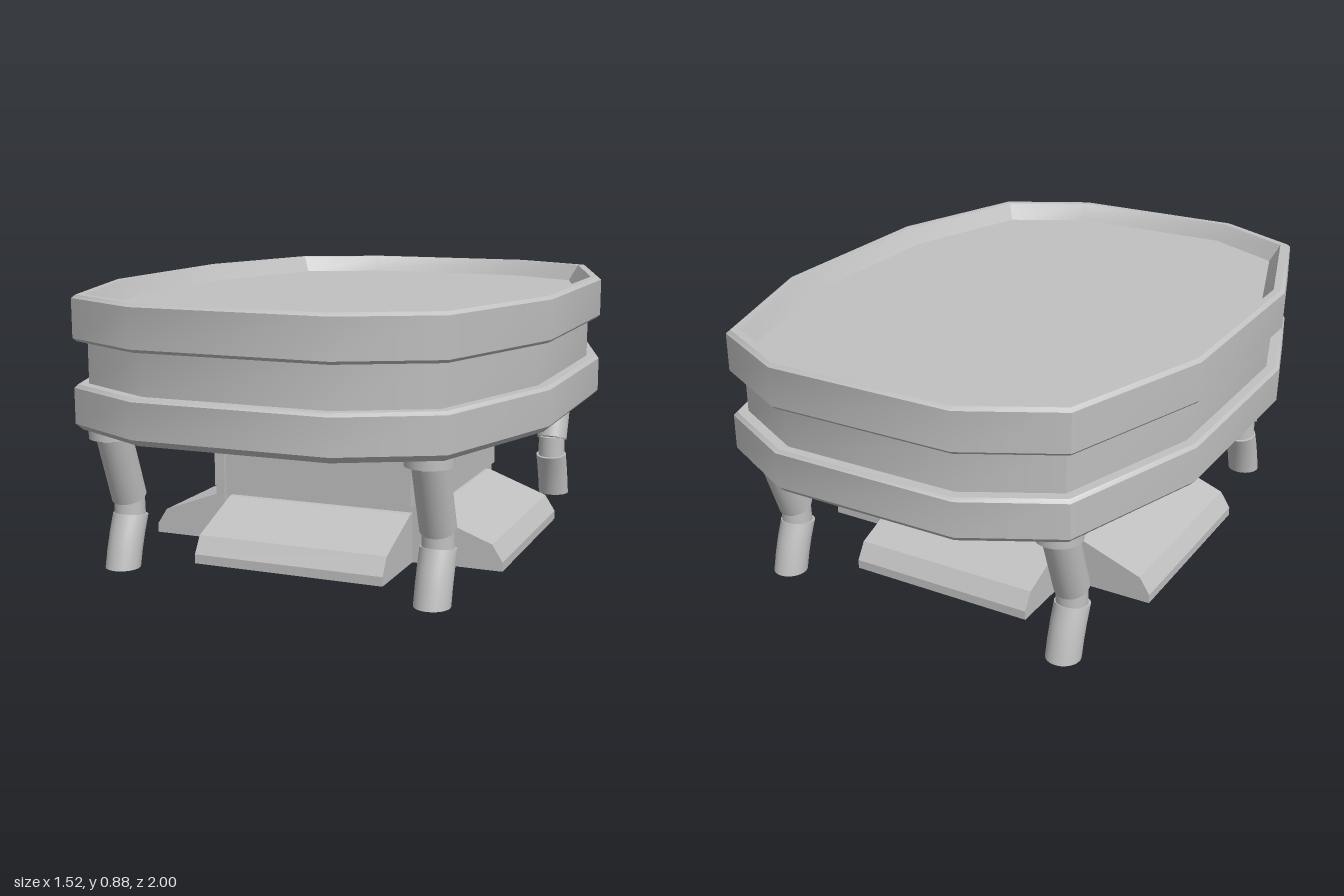
import * as THREE from 'three';
import { toCreasedNormals } from 'three/addons/utils/BufferGeometryUtils.js';

const stone = new THREE.MeshStandardMaterial({ color: 0xc0c0c0 });
stone.name = 'light grey';

function part(parent, name, geometry, x = 0, y = 0, z = 0) {
  const mesh = new THREE.Mesh(geometry, stone);
  mesh.name = name;
  mesh.position.set(x, y, z);
  parent.add(mesh);
  return mesh;
}

// Skin between closed rings of points, listed from the bottom up
function loft(rings, crease) {
  const n = rings[0].length;
  const index = [];
  for (let j = 0; j < rings.length - 1; j++) {
    for (let i = 0; i < n; i++) {
      const a = j * n + i, b = j * n + (i + 1) % n;
      index.push(a, a + n, b, b, a + n, b + n);
    }
  }
  const g = new THREE.BufferGeometry();
  g.setAttribute('position', new THREE.Float32BufferAttribute(rings.flat(2), 3));
  g.setIndex(index);
  return toCreasedNormals(g, crease);
}

// Twelve-sided plan of the table, mirrored from one quarter
const quarter = [[0.76, 0.35], [0.6, 0.85], [0.31, 1]];
const flipped = [...quarter].reverse();
const plan = [
  ...quarter,
  ...flipped.map(([x, z]) => [-x, z]),
  ...quarter.map(([x, z]) => [-x, -z]),
  ...flipped.map(([x, z]) => [x, -z]),
];
const inset = (o) => plan.map(([x, z]) => [x * (1 - o / 0.76), z * (1 - o)]);
const planShape = (o) => new THREE.Shape(inset(o).map(([x, z]) => new THREE.Vector2(x, z)));

function addTable(root) {
  const table = new THREE.Group();
  table.name = 'table';
  root.add(table);

  // Two bands, the recessed waist and the raised rim: [inset, height]
  const profile = [
    [0.02, 0.46], [0, 0.48], [0, 0.592], [0.01, 0.602], [0.04, 0.602], [0.04, 0.735],
    [0.01, 0.735], [0, 0.745], [0, 0.867], [0.012, 0.877], [0.035, 0.877], [0.07, 0.82],
  ];
  part(table, 'bands', loft(profile.map(([o, y]) => inset(o).map(([x, z]) => [x, y, z])), 0.62));
  part(table, 'tableTop', new THREE.ShapeGeometry(planShape(0.07)).rotateX(-Math.PI / 2), 0, 0.82, 0);

  // Underside with rectangular pockets round the pedestal
  const under = planShape(0.02);
  const pocket = (x0, x1, z0, z1) => under.holes.push(new THREE.Path([
    new THREE.Vector2(x0, z0), new THREE.Vector2(x0, z1),
    new THREE.Vector2(x1, z1), new THREE.Vector2(x1, z0),
  ]));
  for (const s of [-1, 1]) {
    for (const [a, b] of [[-0.3, -0.05], [0.05, 0.3]]) {
      pocket(s * 0.55 - 0.09, s * 0.55 + 0.09, a, b);
      pocket(a, b, s * 0.68 - 0.13, s * 0.68 + 0.13);
    }
  }
  const slab = new THREE.ExtrudeGeometry(under, { depth: 0.04, bevelEnabled: false });
  part(table, 'underside', slab.rotateX(Math.PI / 2), 0, 0.5, 0);
  part(table, 'pocketCeiling', new THREE.ShapeGeometry(planShape(0.03)).rotateX(Math.PI / 2), 0, 0.499, 0);
}

function addPedestal(root) {
  const pedestal = new THREE.Group();
  pedestal.name = 'pedestal';
  root.add(pedestal);
  part(pedestal, 'core', new THREE.BoxGeometry(0.72, 0.42, 0.7), 0, 0.21, 0);

  // Flared collar under the table
  const square = (x, y, z) => [[x, y, z], [-x, y, z], [-x, y, -z], [x, y, -z]];
  part(pedestal, 'collar', loft([
    square(0.35, 0.405, 0.345), square(0.375, 0.405, 0.36),
    square(0.375, 0.415, 0.36), square(0.425, 0.465, 0.42),
  ], 0.3));

  for (const sx of [-1, 1]) {
    for (const sz of [-1, 1]) {
      part(pedestal, 'cornerPost', new THREE.BoxGeometry(0.03, 0.41, 0.03), sx * 0.36, 0.205, sz * 0.35);
    }
  }

  // Each side has a raised panel above a sloping foot
  const foot = new THREE.Shape([[0, 0], [0.28, 0], [0.28, 0.03], [0.245, 0.085], [0.03, 0.165], [0, 0.165]]
    .map(([x, y]) => new THREE.Vector2(x, y)));
  for (let k = 0; k < 4; k++) {
    const side = new THREE.Group();
    side.name = 'pedestalSide';
    side.rotation.y = k * Math.PI / 2;
    pedestal.add(side);
    const onX = k % 2;
    const width = onX ? 0.68 : 0.645;
    part(side, 'panel', new THREE.BoxGeometry(width + 0.01, 0.197, 0.05), 0, 0.288, onX ? 0.366 : 0.36);
    const ramp = new THREE.ExtrudeGeometry(foot, { depth: width, bevelEnabled: false });
    ramp.translate(0, 0, -width / 2).rotateY(-Math.PI / 2);
    part(side, 'slopingFoot', ramp, 0, 0, 0.34);
  }
}

// Cylinder between two points in the leg's y-z plane
function limb(leg, name, r, [y0, z0], [y1, z1]) {
  const g = new THREE.CylinderGeometry(r, r, Math.hypot(y1 - y0, z1 - z0), 24);
  const mesh = part(leg, name, g, 0, (y0 + y1) / 2, (z0 + z1) / 2);
  mesh.rotation.x = Math.atan2(z1 - z0, y1 - y0);
}

function addLeg(root, sx, sz) {
  const leg = new THREE.Group();
  leg.name = (sz > 0 ? 'front' : 'back') + (sx > 0 ? 'Left' : 'Right') + 'Leg';
  leg.position.x = sx * 0.52;
  if (sz < 0) leg.rotation.y = Math.PI;
  root.add(leg);
  part(leg, 'mount', new THREE.CylinderGeometry(0.074, 0.074, 0.035, 24), 0, 0.445, 0.768);
  limb(leg, 'upperLeg', 0.056, [0.222, 0.685], [0.44, 0.765]);
  part(leg, 'knee', new THREE.CylinderGeometry(0.048, 0.05, 0.09, 24), 0, 0.187, 0.682);

  // Foot leans outward but is cut flat on the ground
  const foot = new THREE.CylinderGeometry(0.056, 0.056, 0.16, 24, 3);
  const p = foot.attributes.position;
  for (let i = 0; i < p.count; i++) {
    const t = p.getY(i) / 0.16 + 0.5;
    p.setY(i, 0.16 * t - 0.15 * t * (p.getZ(i) + 0.02) * -1);
    p.setZ(i, p.getZ(i) + 0.733 - 0.035 * t - 0.02 * t * t);
  }
  foot.computeVertexNormals();
  part(leg, 'foot', toCreasedNormals(foot, 0.7));
}

export function createModel() {
  const root = new THREE.Group();
  root.name = 'pedestalTable';
  addTable(root);
  addPedestal(root);
  for (const sx of [-1, 1]) for (const sz of [-1, 1]) addLeg(root, sx, sz);
  return root;
}
